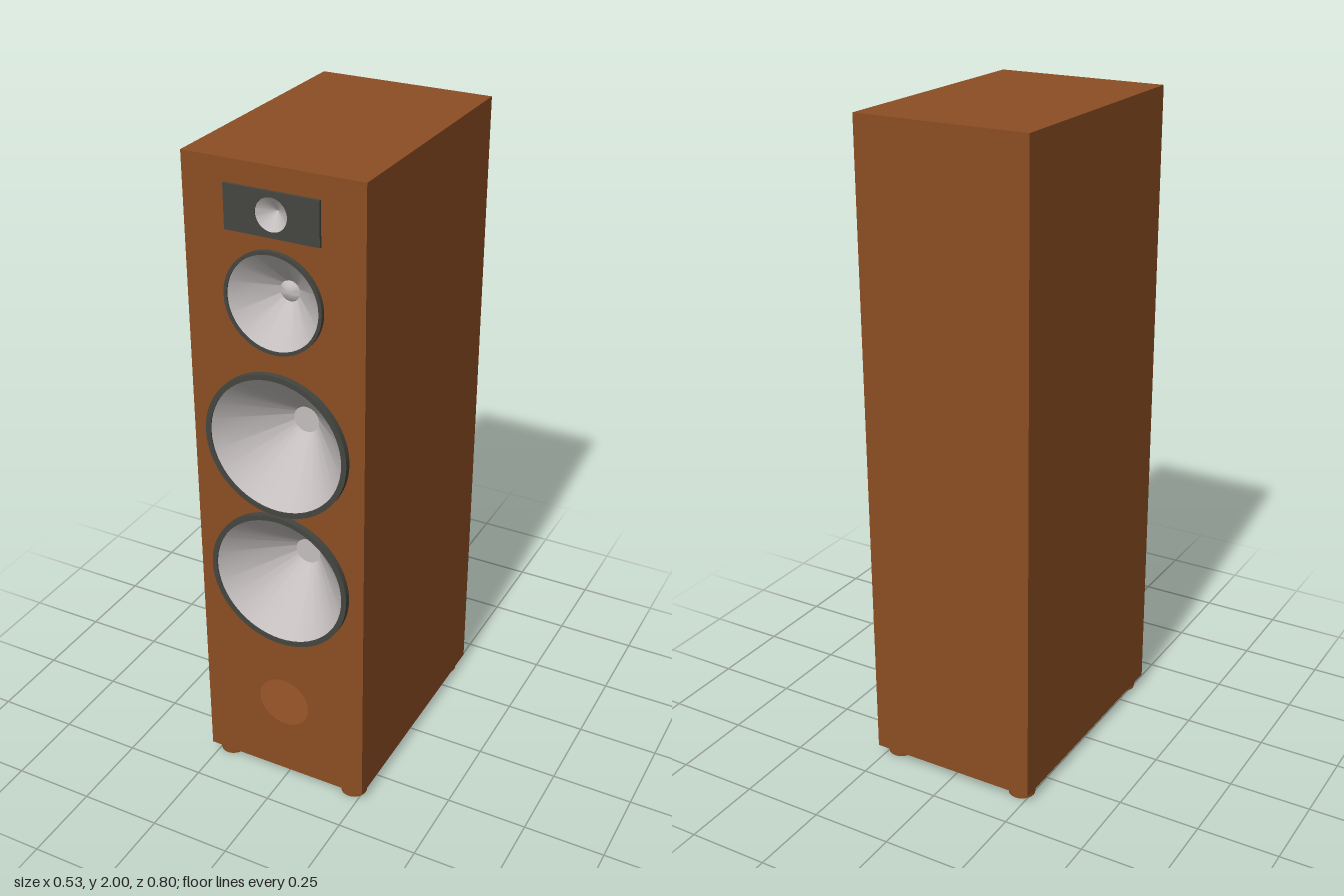
import * as THREE from 'three';
import { toCreasedNormals } from 'three/addons/utils/BufferGeometryUtils.js';

const material = (name, color) => {
  const m = new THREE.MeshStandardMaterial({ color, side: THREE.DoubleSide });
  m.name = name;
  return m;
};

export function createModel() {
  const wood = material('wood', 0x8c4e23);
  const charcoal = material('charcoal', 0x444640);
  const silver = material('silver', 0xc4bebe);

  const model = new THREE.Group();
  model.name = 'floorSpeaker';
  const add = (parent, name, geometry, mat, x = 0, y = 0, z = 0) => {
    const mesh = new THREE.Mesh(geometry, mat);
    mesh.name = name;
    mesh.position.set(x, y, z);
    parent.add(mesh);
    return mesh;
  };

  const W = 0.267, BOTTOM = 0.03, TOP = 2, FRONT = 0.382, BACK = -0.4;

  // Profile of [radius, z] points turned about the z axis
  const turned = (points) => {
    const g = new THREE.LatheGeometry(points.map(([r, z]) => new THREE.Vector2(r, z)), 64);
    g.rotateX(Math.PI / 2);
    return toCreasedNormals(g, 0.5);
  };
  const rectangle = (x0, y0, x1, y1) => new THREE.Shape([
    new THREE.Vector2(x0, y0), new THREE.Vector2(x1, y0),
    new THREE.Vector2(x1, y1), new THREE.Vector2(x0, y1),
  ]);
  const cutHole = (shape, y, r) => {
    shape.holes.push(new THREE.Path().absarc(0, y, r, 0, Math.PI * 2, true));
  };

  // y: centre, outer: rim radius, inner: cone radius, hub: centre radius,
  // height: rim projection, depth: hub distance behind the baffle
  const drivers = [
    { name: 'lowerWoofer', y: 0.75, outer: 0.221, inner: 0.205, hub: 0.04, height: 0.018, depth: 0.165, dome: 0 },
    { name: 'upperWoofer', y: 1.198, outer: 0.221, inner: 0.205, hub: 0.04, height: 0.018, depth: 0.165, dome: 0 },
    { name: 'midrange', y: 1.627, outer: 0.147, inner: 0.137, hub: 0.03, height: 0.013, depth: 0.085, dome: 0.012 },
  ];
  const tweeterY = 1.872, tweeterR = 0.047, portY = 0.293, portR = 0.083;

  // Hollow cabinet: a box without its +z face
  const shell = new THREE.BoxGeometry(W * 2, TOP - BOTTOM, FRONT - BACK);
  const index = Array.from(shell.index.array);
  index.splice(24, 6);
  shell.clearGroups();
  shell.setIndex(index);
  add(model, 'cabinet', shell, wood, 0, (TOP + BOTTOM) / 2, (FRONT + BACK) / 2);

  // Front baffle, cut for the drivers and the port
  const baffle = rectangle(-W, BOTTOM, W, TOP);
  drivers.forEach((d) => cutHole(baffle, d.y, d.inner + 0.002));
  cutHole(baffle, tweeterY, tweeterR);
  cutHole(baffle, portY, portR);
  add(model, 'frontBaffle', new THREE.ShapeGeometry(baffle, 32), wood, 0, 0, FRONT);

  // Dark lining on the inside of the back, seen through the port
  add(model, 'backLining', new THREE.PlaneGeometry(W * 2 - 0.01, TOP - BOTTOM - 0.01),
    charcoal, 0, (TOP + BOTTOM) / 2, BACK + 0.006);

  // Cone drivers with raised rims
  for (const d of drivers) {
    const group = new THREE.Group();
    group.name = d.name;
    group.position.set(0, d.y, FRONT);
    model.add(group);
    add(group, 'rim', turned([[d.outer, 0], [d.outer, d.height], [d.inner, d.height], [d.inner, 0]]), charcoal);
    add(group, 'cone', turned([[d.inner, d.height - 0.004], [d.hub, -d.depth]]), silver);
    add(group, 'hub', turned([[d.hub, -d.depth], [d.hub * 0.6, -d.depth + d.dome * 0.7], [0, -d.depth + d.dome]]), silver);
  }

  // Tweeter on its rectangular plate
  const plate = rectangle(-0.14, 1.809, 0.14, 1.935);
  cutHole(plate, tweeterY, tweeterR);
  add(model, 'tweeterPlate',
    new THREE.ExtrudeGeometry(plate, { depth: 0.008, bevelEnabled: false, curveSegments: 24 }),
    charcoal, 0, 0, FRONT);
  add(model, 'tweeterCone', turned([[tweeterR, 0.006], [0, -0.03]]), silver, 0, tweeterY, FRONT);

  // Feet
  const foot = new THREE.CylinderGeometry(0.04, 0.04, BOTTOM, 24);
  for (const x of [-0.217, 0.217]) {
    for (const z of [-0.345, 0.335]) add(model, 'foot', foot, wood, x, BOTTOM / 2, z);
  }

  return model;
}
